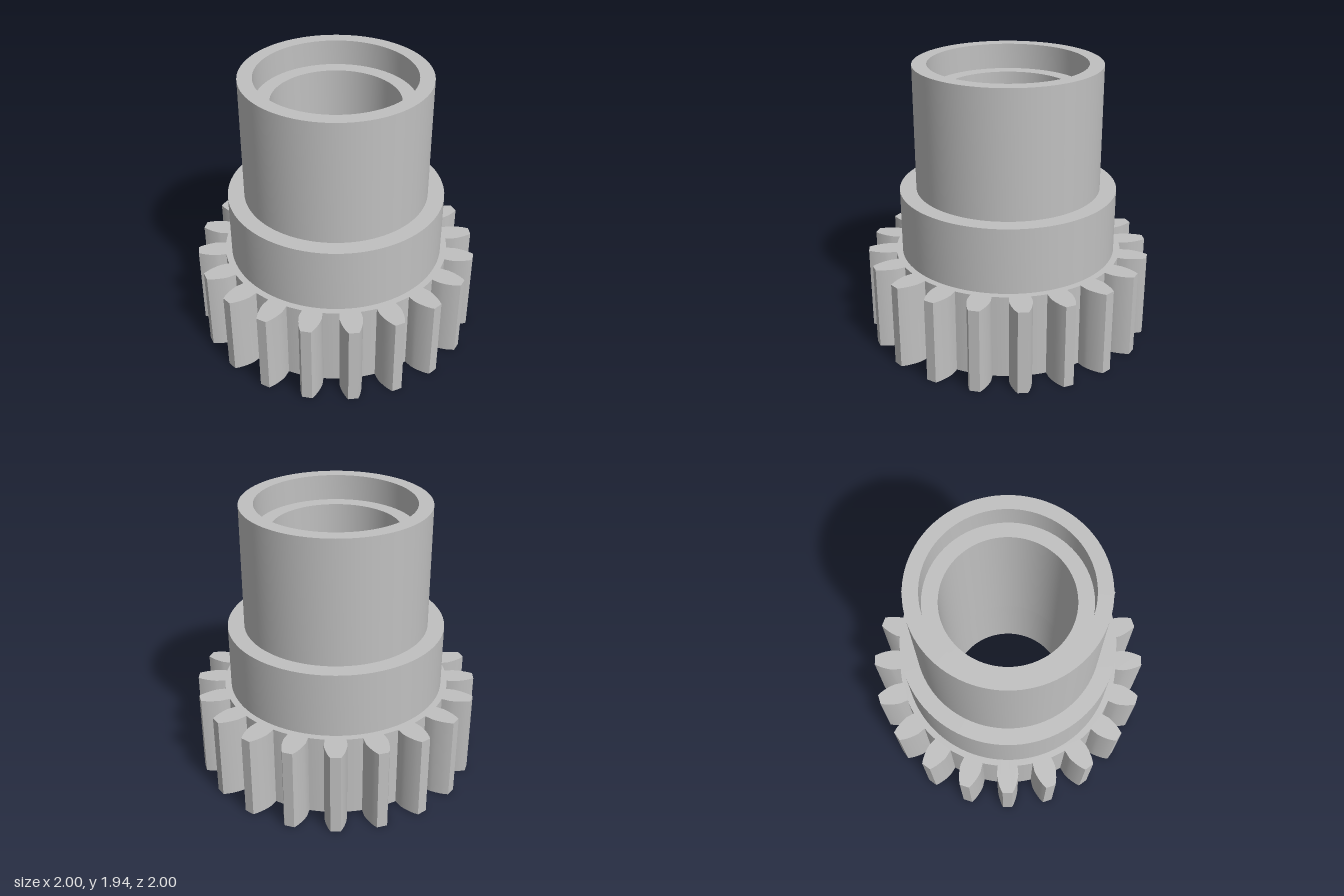
import * as THREE from 'three';
import { toCreasedNormals } from 'three/addons/utils/BufferGeometryUtils.js';

const TEETH = 20;
const BORE = 0.44;
const GEAR_HEIGHT = 0.6;
const ROOT = 0.805;

// Right half of one tooth, root to tip: [distance from axis, half width]
const FLANK = [[0.802, 0.071], [0.862, 0.077], [0.89, 0.0735], [0.92, 0.067], [0.95, 0.058], [0.975, 0.048], [1.0, 0.035]];

function gearOutline() {
  const points = [];
  const pitch = (Math.PI * 2) / TEETH;
  const rootHalfAngle = Math.atan2(FLANK[0][1], FLANK[0][0]);
  for (let i = 0; i < TEETH; i++) {
    const a = i * pitch;
    const c = Math.cos(a), s = Math.sin(a);
    const add = (r, w) => points.push(new THREE.Vector2(r * c - w * s, r * s + w * c));
    FLANK.forEach(([r, w]) => add(r, -w));
    [...FLANK].reverse().forEach(([r, w]) => add(r, w));
    // Rounded gap between this tooth and the next
    for (let k = 1; k < 4; k++) {
      const g = a + rootHalfAngle + (pitch - 2 * rootHalfAngle) * (k / 4);
      points.push(new THREE.Vector2(ROOT * Math.cos(g), ROOT * Math.sin(g)));
    }
  }
  return points;
}

export function createModel() {
  const group = new THREE.Group();
  group.name = 'pinionGear';
  const steel = new THREE.MeshStandardMaterial({ color: 0xc0c0c0 });
  steel.name = 'steel grey';

  const addPart = (geometry, name) => {
    const mesh = new THREE.Mesh(toCreasedNormals(geometry, Math.PI / 7), steel);
    mesh.name = name;
    group.add(mesh);
  };

  // Toothed wheel with the through bore
  const shape = new THREE.Shape(gearOutline());
  const bore = new THREE.Path();
  bore.absarc(0, 0, BORE, 0, Math.PI * 2, true);
  shape.holes.push(bore);
  const gear = new THREE.ExtrudeGeometry(shape, { depth: GEAR_HEIGHT, bevelEnabled: false, curveSegments: 48 });
  gear.rotateX(-Math.PI / 2);
  addPart(gear, 'toothedWheel');

  // Stepped hub: collar, sleeve, counterbore and bore
  const profile = [
    [0.76, GEAR_HEIGHT], [0.76, 1.06], [0.645, 1.06], [0.645, 1.94],
    [0.545, 1.94], [0.545, 1.76], [BORE, 1.76], [BORE, GEAR_HEIGHT],
  ].map(([r, y]) => new THREE.Vector2(r, y));
  addPart(new THREE.LatheGeometry(profile, 96), 'steppedHub');

  return group;
}
